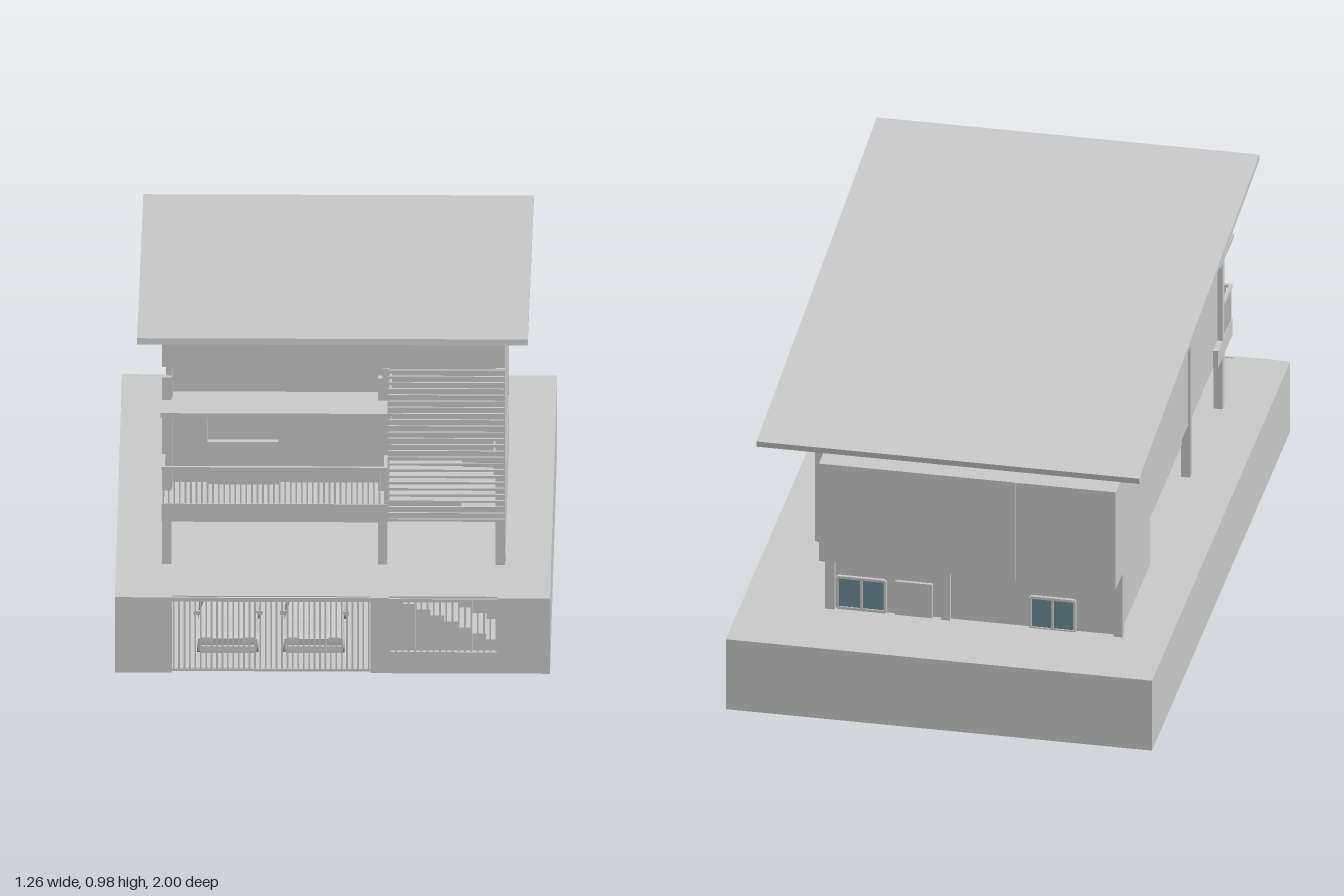
import * as THREE from 'three';

export function createModel() {
  const house = new THREE.Group();
  house.name = 'house';
  const grey = new THREE.MeshStandardMaterial({ color: 0xcccccc, side: THREE.DoubleSide });
  const glass = new THREE.MeshStandardMaterial({ color: 0x6d8f99 });

  const add = (name, geometry, parent = house, material = grey) => {
    const mesh = new THREE.Mesh(geometry, material);
    mesh.name = name;
    parent.add(mesh);
    return mesh;
  };
  const group = (name) => {
    const g = new THREE.Group();
    g.name = name;
    house.add(g);
    return g;
  };
  // Box given by its limits on each axis
  const box = (name, x0, x1, y0, y1, z0, z1, parent, material) =>
    add(name, new THREE.BoxGeometry(x1 - x0, y1 - y0, z1 - z0)
      .translate((x0 + x1) / 2, (y0 + y1) / 2, (z0 + z1) / 2), parent, material);
  // Side profile of [z, y] points, extruded from x0 to x1
  const profile = (name, points, x0, x1, parent, hole) => {
    const shape = new THREE.Shape(points.map((p) => new THREE.Vector2(...p)));
    if (hole) shape.holes.push(new THREE.Path(hole.map((p) => new THREE.Vector2(...p))));
    const g = new THREE.ExtrudeGeometry(shape, { depth: x1 - x0, bevelEnabled: false });
    return add(name, g.rotateY(-Math.PI / 2).translate(x1, 0, 0), parent);
  };
  // Row of upright bars along x
  const barsX = (x0, x1, y0, y1, z, count, parent) => {
    for (let i = 0; i <= count; i++) {
      const x = x0 + ((x1 - x0) * i) / count;
      box('bar', x - 0.0025, x + 0.0025, y0, y1, z - 0.0025, z + 0.0025, parent);
    }
  };

  // Plinth with basement garage, open underneath at the back
  const plinth = group('plinth');
  box('groundSlab', -0.627, 0.627, 0.212, 0.23, -0.998, 0.975, plinth);
  box('garageFloor', -0.61, 0.61, 0.003, 0.01, -0.72, 0.985, plinth);
  box('backWall', -0.627, 0.627, 0, 0.23, -1, -0.97, plinth);
  for (const s of [-1, 1]) box('sideWall', s * 0.615 - 0.015, s * 0.615 + 0.015, 0, 0.23, -1, 0.99, plinth);
  box('frontWallLeftEnd', -0.63, -0.465, 0, 0.23, 0.96, 0.99, plinth);
  box('gatePier', 0.11, 0.163, 0, 0.23, 0.96, 0.99, plinth);
  box('gateSill', 0.163, 0.478, 0, 0.06, 0.96, 0.99, plinth);
  box('frontWallRightEnd', 0.478, 0.63, 0, 0.23, 0.96, 0.99, plinth);
  box('stairBackWall', 0.12, 0.6, 0.01, 0.215, 0.7, 0.715, plinth);

  // Entrance stair behind the small gate
  const stair = group('entranceStair');
  for (let i = 0; i < 8; i++) {
    box('step', 0.163 + i * 0.04, 0.203 + i * 0.04, 0.01, 0.2 - i * 0.018, 0.72, 0.9, stair);
  }

  // Gates
  const carGate = group('carGate');
  barsX(-0.46, 0.105, 0.005, 0.228, 0.985, 36, carGate);
  const smallGate = group('smallGate');
  barsX(0.166, 0.475, 0.06, 0.228, 0.992, 17, smallGate);
  for (const [g, x0, x1, y0, z] of [[carGate, -0.465, 0.11, 0.005, 0.985], [smallGate, 0.163, 0.478, 0.06, 0.992]]) {
    box('rail', x0, x1, y0, y0 + 0.007, z - 0.004, z + 0.004, g);
    box('rail', x0, x1, 0.222, 0.229, z - 0.004, z + 0.004, g);
  }

  // Cars in the garage
  const carBody = [[0.9, 0.035], [0.905, 0.075], [0.89, 0.09], [0.79, 0.1], [0.72, 0.142],
    [0.56, 0.145], [0.49, 0.105], [0.46, 0.1], [0.45, 0.04]];
  for (const x of [-0.305, -0.055]) {
    const car = group('car');
    const body = profile('carBody', carBody, x - 0.085, x + 0.085, car);
    const p = body.geometry.attributes.position;
    for (let i = 0; i < p.count; i++) {
      if (p.getY(i) > 0.12) p.setX(i, x + (p.getX(i) - x) * 0.78); // narrower cabin roof
    }
    body.geometry.computeVertexNormals();
    box('bumper', x - 0.08, x + 0.08, 0.035, 0.055, 0.9, 0.915, car);
    for (const s of [-1, 1]) {
      box('mirror', x + s * 0.09 - 0.01, x + s * 0.09 + 0.01, 0.098, 0.11, 0.75, 0.76, car);
      box('headlight', x + s * 0.06 - 0.018, x + s * 0.06 + 0.018, 0.065, 0.08, 0.9, 0.908, car);
      for (const z of [0.83, 0.53]) {
        add('wheel', new THREE.CylinderGeometry(0.028, 0.028, 0.03, 16)
          .rotateZ(Math.PI / 2).translate(x + s * 0.074, 0.038, z), car);
      }
    }
  }

  // Columns, running down through the basement
  for (const [x, z, top] of [[-0.483, 0.678, 0.8], [0.142, 0.678, 0.8], [0.483, 0.678, 0.83],
    [-0.476, 0.25, 0.89], [-0.48, -0.745, 0.82], [0.372, -0.745, 0.82], [0.03, -0.745, 0.42]]) {
    box('column', x - 0.0135, x + 0.0135, 0, top, z - 0.0135, z + 0.0135);
  }

  // Main walls, with a low side opening on the right
  const opening = [[-0.33, 0.4], [0.38, 0.4], [0.22, 0.46], [-0.33, 0.46]];
  profile('rightWall', [[-0.36, 0.23], [0.66, 0.23], [0.69, 0.37], [0.69, 0.83], [-0.36, 0.83]],
    0.478, 0.497, house, opening);
  for (const z of [0.21, -0.06]) box('openingPost', 0.48, 0.492, 0.4, 0.46, z - 0.01, z + 0.01);
  box('openingBack', 0.46, 0.47, 0.37, 0.48, -0.35, 0.4);
  box('rightBackWall', 0.365, 0.38, 0.23, 0.822, -0.74, -0.36);
  box('rightStepWall', 0.365, 0.49, 0.23, 0.83, -0.365, -0.35);
  box('rightLedge', 0.365, 0.4, 0.415, 0.435, -0.75, -0.36);
  profile('leftWall', [[-0.74, 0.23], [-0.31, 0.23], [-0.31, 0.4], [0.67, 0.4], [0.67, 0.83], [-0.74, 0.82]],
    -0.482, -0.466);
  box('leftLowWall', -0.466, -0.454, 0.34, 0.42, -0.31, 0.23);
  box('backWall', -0.475, 0.37, 0.23, 0.82, -0.745, -0.73);
  box('carportBackWall', -0.47, 0.15, 0.23, 0.4, -0.32, -0.3);
  box('entranceWall', 0.15, 0.48, 0.23, 0.4, 0.28, 0.3);
  box('entranceSideWall', 0.142, 0.157, 0.23, 0.4, -0.3, 0.3);
  box('upperFloor', -0.47, 0.37, 0.37, 0.42, -0.74, 0.68);
  box('upperFloorFront', 0.37, 0.48, 0.37, 0.4, -0.35, 0.67);

  // Recessed upper front with its wide window and door outline
  const front = group('upperFront');
  box('frontUpperWall', -0.47, 0.15, 0.42, 0.83, 0.6, 0.615, front);
  box('roomDivider', 0.142, 0.157, 0.42, 0.83, 0.3, 0.69, front);
  box('screenBackWall', 0.15, 0.48, 0.4, 0.83, 0.3, 0.315, front);
  box('frameTop', -0.37, 0.035, 0.696, 0.703, 0.615, 0.622, front);
  for (const x of [-0.37, 0.03]) box('frameSide', x, x + 0.005, 0.45, 0.7, 0.615, 0.622, front);
  box('benchPanel', -0.365, -0.16, 0.45, 0.585, 0.615, 0.635, front);

  // Balcony and awning
  const balcony = group('balcony');
  box('balconySlab', -0.497, 0.157, 0.4, 0.455, 0.6, 0.81, balcony);
  box('balconyEnd', 0.147, 0.157, 0.455, 0.565, 0.69, 0.805, balcony);
  barsX(-0.492, 0.15, 0.455, 0.562, 0.803, 40, balcony);
  box('handrail', -0.497, 0.157, 0.558, 0.567, 0.798, 0.81, balcony);
  box('sideHandrail', -0.497, -0.487, 0.558, 0.567, 0.68, 0.8, balcony);
  for (let i = 0; i < 8; i++) {
    const z = 0.69 + i * 0.0145;
    box('bar', -0.4945, -0.4895, 0.455, 0.562, z - 0.0025, z + 0.0025, balcony);
  }
  box('awning', -0.5, 0.157, 0.717, 0.732, 0.61, 0.81);

  // Louvre screen
  const screen = group('louvreScreen');
  for (let i = 0; i < 25; i++) {
    const y = 0.365 + i * 0.019;
    box('slat', 0.157, 0.497, y, y + 0.007, 0.692, 0.7, screen);
  }
  for (const x of [0.157, 0.492]) box('screenPost', x, x + 0.005, 0.365, 0.83, 0.685, 0.696, screen);

  // Wall wedge under the roof, and sloping roof plate
  profile('gableWedge', [[0.69, 0.832], [0.69, 0.936], [-0.52, 0.832]], -0.497, 0.497);
  profile('roof', [[0.855, 0.958], [0.853, 0.976], [-0.878, 0.823], [-0.876, 0.805]], -0.567, 0.564);

  // Projecting room at the upper back
  const bay = group('backBay');
  box('bayPanels', -0.497, 0.38, 0.45, 0.77, -0.877, -0.755, bay);
  box('baySill', -0.49, 0.375, 0.44, 0.452, -0.86, -0.74, bay);
  for (const x of [-0.2, 0.09]) box('panelJoint', x - 0.002, x + 0.002, 0.45, 0.77, -0.878, -0.876, bay);

  // Two-pane windows, built facing +z then turned
  const windowUnit = (x, y, z, w, h, turn) => {
    const g = group('window');
    for (const s of [-1, 1]) {
      box('pane', s * w / 4 - w * 0.22, s * w / 4 + w * 0.22, -h / 2, h / 2, 0, 0.006, g, glass);
      box('frameSide', s * w / 2 - 0.004, s * w / 2 + 0.004, -h / 2, h / 2, 0, 0.01, g);
      box('frameRail', -w / 2, w / 2, s * h / 2 - 0.004, s * h / 2 + 0.004, 0, 0.01, g);
    }
    box('mullion', -0.004, 0.004, -h / 2, h / 2, 0, 0.01, g);
    g.position.set(x, y, z);
    g.rotation.y = turn;
  };
  windowUnit(0.38, 0.63, -0.605, 0.14, 0.12, Math.PI / 2);
  windowUnit(0.38, 0.285, -0.605, 0.14, 0.11, Math.PI / 2);
  windowUnit(0.157, 0.68, 0.55, 0.13, 0.12, Math.PI / 2);
  windowUnit(0.28, 0.285, -0.745, 0.14, 0.1, Math.PI);
  windowUnit(-0.285, 0.28, -0.745, 0.13, 0.1, Math.PI);
  box('backDoor', 0.07, 0.18, 0.23, 0.34, -0.755, -0.745);

  return house;
}
